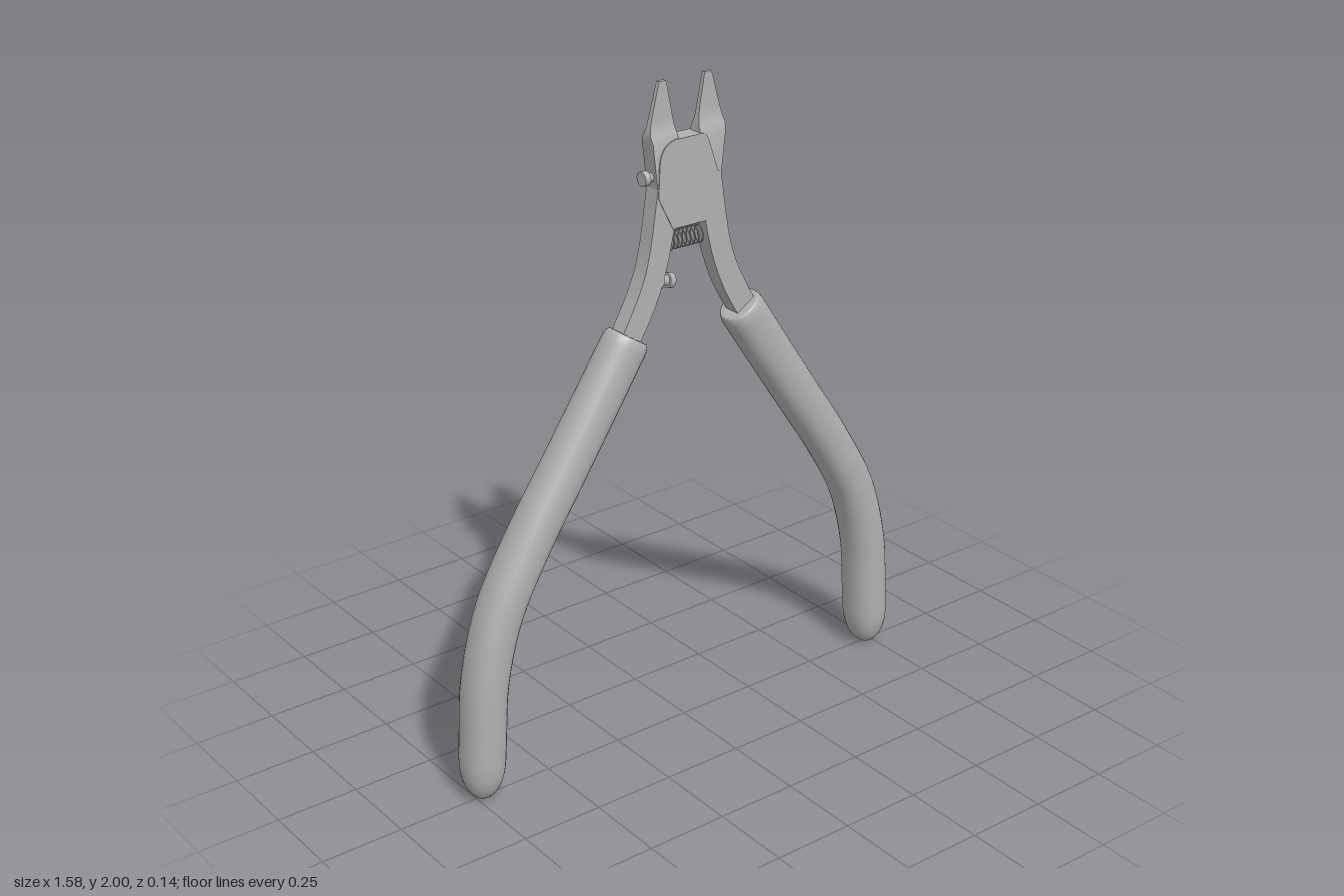
import * as THREE from 'three';
import { toCreasedNormals } from 'three/addons/utils/BufferGeometryUtils.js';

const steel = new THREE.MeshStandardMaterial({ color: 0xb0b0b0 });
steel.name = 'grey';

function part(name, geometry, parent) {
  const mesh = new THREE.Mesh(geometry, steel);
  mesh.name = name;
  parent.add(mesh);
  return mesh;
}

// Skin a list of rings (same point count, counter-clockwise about the direction of travel)
function loft(rings, capped) {
  const n = rings[0].length, pos = [], idx = [];
  rings.forEach(r => r.forEach(p => pos.push(p.x, p.y, p.z)));
  for (let i = 0; i < rings.length - 1; i++) {
    for (let j = 0; j < n; j++) {
      const a = i * n + j, b = i * n + (j + 1) % n;
      idx.push(a, b, b + n, a, b + n, a + n);
    }
  }
  if (capped) {
    const e = (rings.length - 1) * n;
    for (let j = 1; j < n - 1; j++) idx.push(0, j + 1, j, e, e + j, e + j + 1);
  }
  const g = new THREE.BufferGeometry();
  g.setAttribute('position', new THREE.Float32BufferAttribute(pos, 3));
  g.setIndex(idx);
  g.computeVertexNormals();
  return g;
}

// Soft rounded sleeve swept along the bent handle
function gripGeometry() {
  const path = new THREE.CatmullRomCurve3(
    [[0.196, 1.295], [0.32, 1.107], [0.435, 0.935], [0.545, 0.77], [0.65, 0.58],
      [0.705, 0.38], [0.72, 0.2], [0.732, 0.005]].map(([x, y]) => new THREE.Vector3(x, y, 0)));
  const length = path.getLength(), rings = [], sides = 28, steps = 52;
  const ring = (u, s) => {
    const c = path.getPointAt(u), t = path.getTangentAt(u);
    const a = (0.067 - 0.004 * u) * s;
    const b = (0.06 + 0.01 * Math.min(1, u * 1.8)) * s;
    const pts = [];
    for (let j = 0; j < sides; j++) {
      const th = j / sides * Math.PI * 2, co = Math.cos(th), si = Math.sin(th);
      const x = Math.sign(co) * Math.abs(co) ** 0.88 * a;
      const z = Math.sign(si) * Math.abs(si) ** 0.88 * b;
      pts.push(new THREE.Vector3(c.x - t.y * x, c.y + t.x * x, z));
    }
    return pts;
  };
  rings.push(ring(0, 0.001), ring(0, 0.6), ring(0, 0.84));
  for (let i = 1; i <= steps; i++) {
    const u = (1 - Math.cos(Math.PI * i / steps)) / 2;
    const top = Math.min(1, u * length / 0.035), end = Math.min(1, (1 - u) * length / 0.15);
    const s = (0.84 + 0.16 * Math.sqrt(top * (2 - top))) * Math.sqrt(1 - (1 - end) ** 2.6);
    rings.push(ring(u, Math.max(s, 0.001)));
  }
  return loft(rings, false);
}

// Cutting jaw: thick at the joint, pinched to a thin blade
function jawGeometry() {
  const rows = [ // y, inner x, outer x, half depth
    [1.68, 0.03, 0.106, 0.025], [1.835, 0.037, 0.124, 0.025], [1.855, 0.038, 0.127, 0.017],
    [1.875, 0.042, 0.122, 0.01], [1.9, 0.046, 0.116, 0.0075], [1.99, 0.063, 0.092, 0.006],
    [2.0, 0.066, 0.088, 0.006]];
  const rings = rows.map(([y, a, b, z]) => [[a, z], [b, z], [b, -z], [a, -z]]
    .map(([x, d]) => new THREE.Vector3(x, y, d)));
  return toCreasedNormals(loft(rings, true), 0.4);
}

function plate(shape, z0, z1) {
  const g = new THREE.ExtrudeGeometry(shape, { depth: z1 - z0, bevelEnabled: false, curveSegments: 10 });
  g.translate(0, 0, z0);
  return toCreasedNormals(g, 0.5);
}

function armShape() {
  const v = (x, y) => new THREE.Vector2(x, y);
  const s = new THREE.Shape();
  s.moveTo(0.03, 1.72);
  s.lineTo(0.053, 1.59);
  s.splineThru([v(0.08, 1.475), v(0.125, 1.36), v(0.19, 1.25)]);
  s.lineTo(0.262, 1.26);
  s.splineThru([v(0.228, 1.32), v(0.17, 1.43), v(0.138, 1.53), v(0.112, 1.69)]);
  s.lineTo(0.106, 1.72);
  return s;
}

function jointShape() {
  const s = new THREE.Shape();
  s.moveTo(-0.06, 1.585);
  s.lineTo(0.05, 1.585);
  s.lineTo(0.085, 1.612);
  s.quadraticCurveTo(0.108, 1.63, 0.108, 1.665);
  s.quadraticCurveTo(0.108, 1.69, 0.1, 1.71);
  s.lineTo(0.064, 1.815);
  s.quadraticCurveTo(0.056, 1.838, 0.04, 1.838);
  s.lineTo(-0.05, 1.838);
  s.quadraticCurveTo(-0.1, 1.83, -0.104, 1.77);
  s.lineTo(-0.108, 1.68);
  return s;
}

// Stepped screw along x: each section is [x start, x end, radius]
function screw(name, sections, parent) {
  const g = new THREE.Group();
  g.name = name;
  sections.forEach(([a, b, r], i) => {
    const c = new THREE.CylinderGeometry(r, r, b - a, 20);
    c.rotateZ(Math.PI / 2);
    c.translate((a + b) / 2, 0, 0);
    part(name + 'Section' + (i + 1), c, g);
  });
  parent.add(g);
  return g;
}

export function createModel() {
  const model = new THREE.Group();
  model.name = 'cuttingPliers';

  // Two identical halves, one turned half way round the vertical axis
  for (const side of ['left', 'right']) {
    const half = new THREE.Group();
    half.name = side + 'Half';
    part(side + 'Grip', gripGeometry(), half);
    part(side + 'Arm', plate(armShape(), -0.026, 0.026), half);
    part(side + 'Jaw', jawGeometry(), half);
    part(side + 'JointPlate', plate(jointShape(), 0, 0.028), half);
    if (side === 'right') half.rotation.y = Math.PI;
    model.add(half);
  }

  // Return spring between the arms
  const coil = [], turns = 8;
  for (let i = 0; i <= turns * 16; i++) {
    const t = i / (turns * 16), a = t * turns * Math.PI * 2;
    coil.push(new THREE.Vector3(-0.058 + 0.116 * t, 1.543 + 0.027 * Math.cos(a), 0.024 * Math.sin(a)));
  }
  part('spring', new THREE.TubeGeometry(new THREE.CatmullRomCurve3(coil), turns * 20, 0.002, 6), model);

  // Adjusting screws on the right side
  screw('upperScrew', [[-0.146, -0.128, 0.021], [-0.13, -0.1, 0.013]], model).position.y = 1.738;
  const stop = screw('stopScrew', [[-0.02, 0.004, 0.026], [0, 0.034, 0.015], [0.03, 0.048, 0.022]], model);
  stop.position.set(-0.092, 1.434, 0);
  stop.rotation.z = -0.2;

  return model;
}
